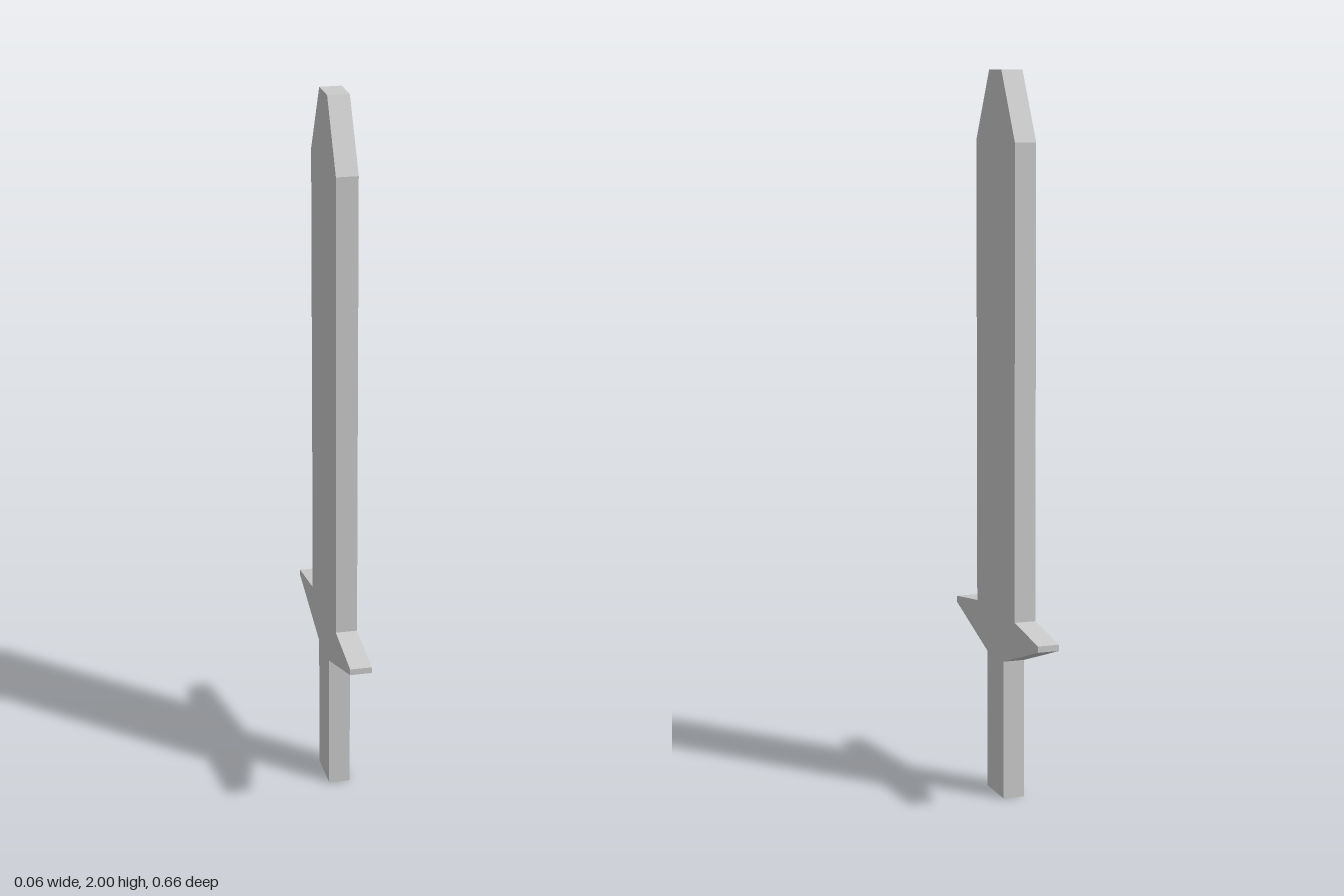
import * as THREE from 'three';

// Half of the side outline, from pommel to tip: [distance from centre line, height]
const halfOutline = [
  [0.066, 0], [0.066, 0.39],       // grip
  [0.33, 0.476], [0.33, 0.493],    // crossguard end
  [0.152, 0.518], [0.152, 1.81],   // blade edge
  [0.048, 2],                      // blunt tip
];
const thickness = 0.06;

export function createModel() {
  const group = new THREE.Group();
  group.name = 'sword';

  // Mirror the half outline to close the silhouette
  const mirrored = halfOutline.map(([z, y]) => [-z, y]).reverse();
  const points = [...halfOutline, ...mirrored].map(([z, y]) => new THREE.Vector2(z, y));

  // Flat plate, centred on its thickness and turned so its width runs along z
  const geometry = new THREE.ExtrudeGeometry(new THREE.Shape(points), {
    depth: thickness, bevelEnabled: false,
  });
  geometry.translate(0, 0, -thickness / 2);
  geometry.rotateY(-Math.PI / 2);

  const material = new THREE.MeshStandardMaterial({ color: 0xcccccc, flatShading: true });
  const sword = new THREE.Mesh(geometry, material);
  sword.name = 'bladeGuardAndGrip';
  group.add(sword);
  return group;
}
